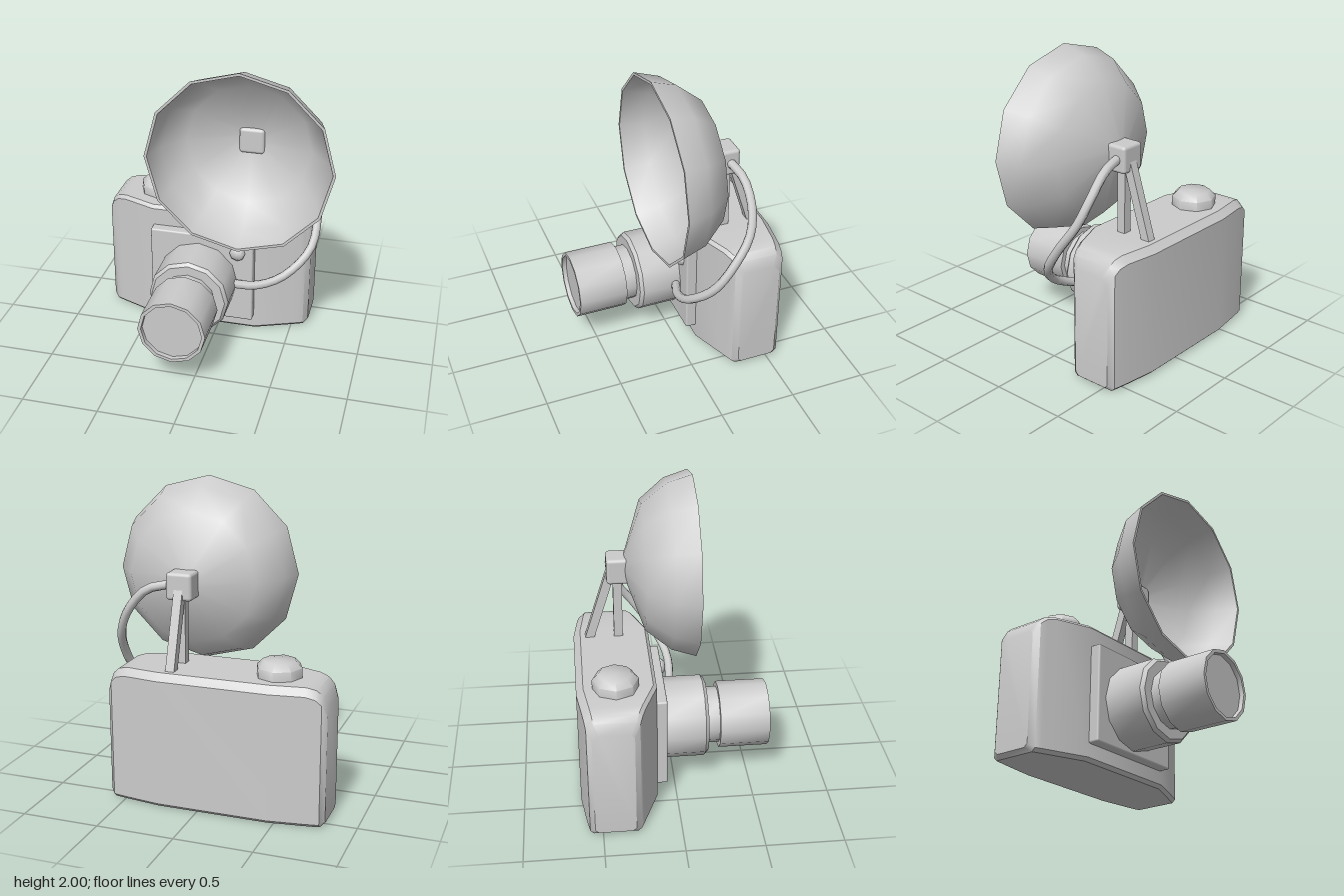
import * as THREE from 'three';
import { toCreasedNormals } from 'three/addons/utils/BufferGeometryUtils.js';
import { RoundedBoxGeometry } from 'three/addons/geometries/RoundedBoxGeometry.js';

const material = new THREE.MeshStandardMaterial({ color: 0xcccccc });

function part(name, geometry, x = 0, y = 0, z = 0) {
  const mesh = new THREE.Mesh(geometry, material);
  mesh.name = name;
  mesh.position.set(x, y, z);
  return mesh;
}

// Turned part from [radius, height] pairs, about y or (forward) about z
function turned(profile, sides, forward, crease = 0.65) {
  const g = new THREE.LatheGeometry(profile.map(([r, h]) => new THREE.Vector2(r, h)), sides);
  if (forward) g.rotateX(Math.PI / 2);
  return toCreasedNormals(g, crease);
}

// Box between x, y and z limits with softened edges
function softBox(name, [x0, x1], [y0, y1], [z0, z1], radius) {
  const g = new RoundedBoxGeometry(x1 - x0, y1 - y0, z1 - z0, 2, radius);
  return part(name, g, (x0 + x1) / 2, (y0 + y1) / 2, (z0 + z1) / 2);
}

// Square bar between two points
function bar(name, from, to, width) {
  const a = new THREE.Vector3(...from), b = new THREE.Vector3(...to);
  const mesh = part(name, new THREE.BoxGeometry(width, a.distanceTo(b), width));
  mesh.position.copy(a).lerp(b, 0.5);
  mesh.quaternion.setFromUnitVectors(new THREE.Vector3(0, 1, 0), b.sub(a).normalize());
  return mesh;
}

// Camera body: bevelled sections lofted along x, tapering to both ends
function bodyGeometry() {
  // half length, front z, back z, bottom y, top y
  const half = [
    [0.71, -0.29, -0.55, 0.025, 0.76],
    [0.68, -0.255, -0.582, 0, 0.83],
    [0.64, -0.238, -0.59, 0, 0.865],
    [0.58, -0.214, -0.6, 0, 0.88],
    [0.36, -0.128, -0.63, 0, 0.88],
  ];
  const stations = [
    ...half.map(([x, ...rest]) => [-x, ...rest]),
    ...half.slice().reverse(),
  ];
  const b = 0.022, t = 0.045;
  const positions = [], index = [], n = 8;
  for (const [x, f, k, y0, y1] of stations) {
    const loop = [
      [f, y0 + b], [f, y1 - b], [f - b, y1], [k + t, y1],
      [k, y1 - t], [k, y0 + b], [k + b, y0], [f - b, y0],
    ];
    for (const [z, y] of loop) positions.push(x, y, z);
  }
  const last = stations.length - 1;
  for (let i = 0; i < last; i++) {
    for (let j = 0; j < n; j++) {
      const a = i * n + j, d = i * n + (j + 1) % n;
      index.push(a, a + n, d, a + n, d + n, d);
    }
  }
  const e = last * n;
  for (let j = 1; j < n - 1; j++) index.push(0, j, j + 1, e, e + j + 1, e + j);
  const g = new THREE.BufferGeometry();
  g.setAttribute('position', new THREE.Float32BufferAttribute(positions, 3));
  g.setIndex(index);
  return toCreasedNormals(g, 0.6);
}

export function createModel() {
  const model = new THREE.Group();
  model.name = 'flashCamera';

  // Body and front plate
  model.add(part('body', bodyGeometry(), -0.1));
  model.add(softBox('frontPlate', [-0.455, 0.255], [0.11, 0.74], [-0.16, -0.06], 0.012));

  // Dial on the top and knob on the plate
  model.add(part('topDial',
    turned([[0.145, 0.86], [0.145, 0.94], [0.105, 0.98], [0, 0.98]], 8, false, 0.9), -0.46, 0, -0.385));
  model.add(part('plateKnob',
    turned([[0.053, -0.08], [0.053, -0.045], [0.035, -0.025], [0, -0.02]], 8, true, 0.9), 0.15, 0.635, 0));

  // Lens: base barrel, neck, and front barrel with recessed glass
  const lens = new THREE.Group();
  lens.name = 'lens';
  lens.position.set(-0.12, 0.403, 0);
  lens.add(part('lensBase', turned([[0.27, -0.08], [0.27, 0.2], [0.25, 0.222], [0, 0.222]], 12, true)));
  lens.add(part('lensNeck', turned([[0.187, 0.2], [0.187, 0.32]], 12, true)));
  lens.add(part('lensBarrel', turned(
    [[0, 0.302], [0.222, 0.302], [0.222, 0.628], [0.2, 0.628], [0.198, 0.6], [0, 0.6]], 12, true)));
  model.add(lens);

  // Flash dish, a thin faceted bowl
  model.add(part('flashDish', turned([
    [0, -0.29], [0.07, -0.285], [0.425, -0.165], [0.56, 0], [0.61, 0.16],
    [0.592, 0.16], [0.543, 0.005], [0.412, -0.15], [0.07, -0.267], [0, -0.272],
  ], 12, true, 0.75), 0.195, 1.388, 0));

  // Flash socket and its two struts
  model.add(softBox('flashSocket', [0.11, 0.28], [1.29, 1.465], [-0.4, -0.24], 0.022));
  model.add(bar('frontStrut', [0.195, 0.86, -0.33], [0.195, 1.32, -0.33], 0.058));
  model.add(bar('rearStrut', [0.195, 0.86, -0.527], [0.195, 1.4, -0.357], 0.058));

  // Cable from the socket round to the lens
  const path = new THREE.CatmullRomCurve3([
    [0.26, 1.38, -0.335], [0.42, 1.34, -0.362], [0.55, 1.2, -0.362], [0.62, 1.05, -0.32],
    [0.655, 0.87, -0.2], [0.63, 0.71, -0.09], [0.48, 0.55, 0.015], [0.3, 0.455, 0.022], [0.13, 0.41, -0.03],
  ].map((p) => new THREE.Vector3(...p)));
  model.add(part('cable', new THREE.TubeGeometry(path, 24, 0.029, 8)));

  return model;
}
